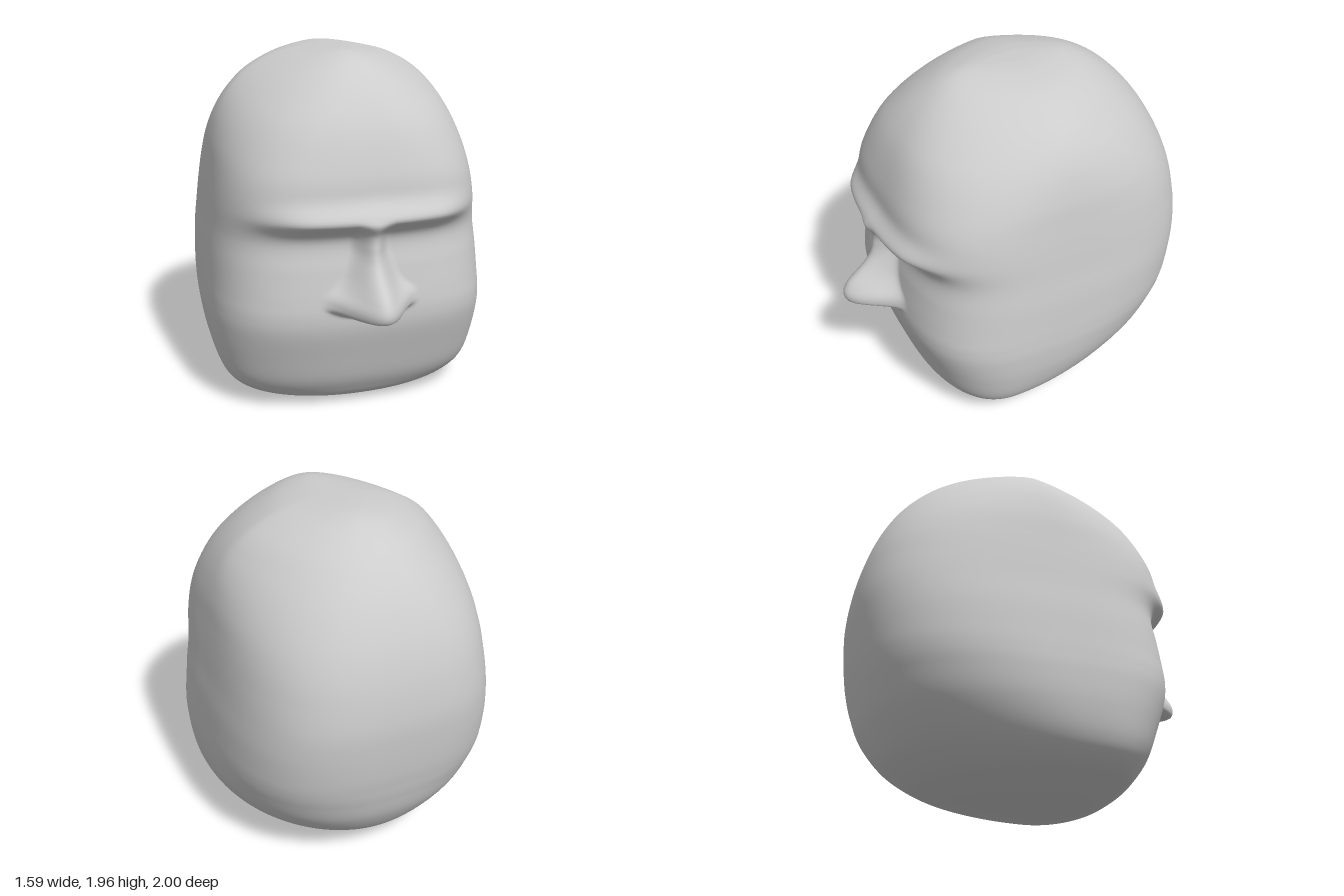
import * as THREE from 'three';

const SEGMENTS = 160;
const STEPS = 11;

// Head cross-sections: height, half width, front z, back z
const SECTIONS = [
  [0.0, 0, 0.1, 0.1],
  [0.001, 0.16, 0.36, -0.32],
  [0.014, 0.32, 0.46, -0.44],
  [0.05, 0.55, 0.535, -0.59],
  [0.11, 0.67, 0.585, -0.7],
  [0.2, 0.735, 0.635, -0.8],
  [0.35, 0.777, 0.685, -0.893],
  [0.5, 0.794, 0.73, -0.94],
  [0.6, 0.795, 0.742, -0.962],
  [0.7, 0.791, 0.735, -0.979],
  [0.85, 0.782, 0.712, -0.994],
  [1.0, 0.765, 0.69, -1.0],
  [1.15, 0.75, 0.735, -0.986],
  [1.3, 0.732, 0.742, -0.955],
  [1.45, 0.71, 0.703, -0.903],
  [1.6, 0.665, 0.64, -0.825],
  [1.72, 0.597, 0.558, -0.735],
  [1.82, 0.495, 0.46, -0.63],
  [1.9, 0.345, 0.35, -0.505],
  [1.94, 0.19, 0.25, -0.395],
  [1.954, 0.07, 0.14, -0.27],
  [1.955, 0, -0.1, -0.1],
];

// Same sections: z of the widest point, then roundness across x and along z, front and back
const ROUNDNESS = [
  [0.1, 2.2, 2.0, 1.8, 1.7],
  [0.12, 2.3, 2.0, 1.8, 1.7],
  [0.18, 2.3, 2.1, 1.8, 1.7],
  [0.22, 2.4, 2.2, 1.8, 1.8],
  [0.22, 2.5, 2.4, 1.9, 1.9],
  [0.18, 2.7, 2.6, 2.1, 2.1],
  [0.1, 2.9, 2.9, 2.4, 2.4],
  [0.04, 3.1, 3.1, 2.65, 2.65],
  [0.0, 3.2, 3.2, 2.8, 2.8],
  [-0.03, 3.2, 3.2, 2.85, 2.85],
  [-0.05, 3.2, 3.2, 2.9, 2.9],
  [-0.05, 3.2, 3.2, 2.9, 2.9],
  [-0.05, 3.2, 3.1, 2.8, 2.8],
  [-0.06, 3.2, 2.8, 2.7, 2.6],
  [-0.07, 3.0, 2.3, 2.55, 2.2],
  [-0.08, 2.8, 1.8, 2.4, 1.75],
  [-0.08, 2.5, 1.45, 2.25, 1.5],
  [-0.1, 2.3, 1.28, 2.15, 1.38],
  [-0.1, 2.1, 1.22, 2.1, 1.35],
  [-0.1, 2.0, 1.25, 2.0, 1.35],
  [-0.1, 2.0, 1.4, 2.0, 1.4],
  [-0.1, 2.0, 1.4, 2.0, 1.4],
];

// Nose: height on the face, projection, half width
const NOSE = [
  [0.585, 0, 0.28], [0.605, 0.04, 0.28], [0.62, 0.18, 0.28], [0.64, 0.245, 0.28],
  [0.69, 0.262, 0.265], [0.75, 0.24, 0.205], [0.8, 0.195, 0.17], [0.85, 0.15, 0.15],
  [0.9, 0.122, 0.135], [0.95, 0.112, 0.12], [1.0, 0.105, 0.115], [1.06, 0.075, 0.115],
  [1.15, 0, 0.12],
];

// Smooth interpolation between the rows of a table
function sampleRows(rows, i, t) {
  const row = (k) => rows[Math.min(Math.max(k, 0), rows.length - 1)];
  const [a, b, c, d] = [row(i - 1), row(i), row(i + 1), row(i + 2)];
  return b.map((v, k) => v + 0.5 * t * (c[k] - a[k]
    + t * (2 * a[k] - 5 * v + 4 * c[k] - d[k] + t * (3 * (v - c[k]) + d[k] - a[k]))));
}

// Distance to the outline s^p + c^q = 1 along one direction
function outlineRadius(s, c, p, q) {
  let low = 0.5, high = 1.5;
  for (let k = 0; k < 24; k++) {
    const mid = (low + high) / 2;
    if ((mid * s) ** p + (mid * c) ** q < 1) low = mid;
    else high = mid;
  }
  return low;
}

function noseRelief(x, y) {
  const level = y - 0.6 * x * x; // the wings sit higher than the tip
  const i = NOSE.findIndex((r, k) => k < NOSE.length - 1 && level >= r[0] && level < NOSE[k + 1][0]);
  if (i < 0) return 0;
  const t = (level - NOSE[i][0]) / (NOSE[i + 1][0] - NOSE[i][0]);
  const [, height, width] = sampleRows(NOSE, i, t);
  const s = Math.abs(x) / width;
  return s < 1 ? Math.max(height, 0) * Math.cos(s * Math.PI / 2) ** 2 : 0;
}

function browRelief(x, y) {
  const d = y - 1.135;
  const fade = 1 - THREE.MathUtils.smoothstep(Math.abs(x), 0.35, 0.72);
  const reach = 0.092 - 0.05 * Math.min(Math.abs(x), 0.5);
  return reach * fade * Math.exp(-((d / (d > 0 ? 0.075 : 0.06)) ** 2));
}

function headGeometry() {
  const positions = [];
  const indices = [];
  const rings = (SECTIONS.length - 1) * STEPS;
  for (let r = 0; r <= rings; r++) {
    const i = Math.min(Math.floor(r / STEPS), SECTIONS.length - 2);
    const [rawY, w, front, back] = sampleRows(SECTIONS, i, r / STEPS - i);
    const [middle, pFront, qFront, pBack, qBack] = sampleRows(ROUNDNESS, i, r / STEPS - i);
    const y = THREE.MathUtils.clamp(rawY, 0, 1.955);
    for (let j = 0; j < SEGMENTS; j++) {
      // Points crowd toward the face
      const turn = (j / SEGMENTS) * Math.PI * 2;
      const angle = turn - 0.6 * Math.sin(turn);
      const s = Math.sin(angle), c = Math.cos(angle);
      const [p, q, depth] = c > 0 ? [pFront, qFront, front - middle] : [pBack, qBack, middle - back];
      const radius = outlineRadius(Math.abs(s), Math.abs(c), p, q);
      const x = Math.max(w, 0) * radius * s;
      let z = middle + Math.max(depth, 0) * radius * c;
      if (c > 0) z += THREE.MathUtils.smoothstep(c, 0.2, 0.6) * (noseRelief(x, y) + browRelief(x, y));
      positions.push(x, y, z);
      if (r < rings) {
        const a = r * SEGMENTS + j, b = r * SEGMENTS + (j + 1) % SEGMENTS;
        if (r > 0) indices.push(a, b, a + SEGMENTS);
        else indices.push(a, b + SEGMENTS, a + SEGMENTS);
        if (r > 0 && r < rings - 1) indices.push(b, b + SEGMENTS, a + SEGMENTS);
      }
    }
  }
  const geometry = new THREE.BufferGeometry();
  geometry.setAttribute('position', new THREE.Float32BufferAttribute(positions, 3));
  geometry.setIndex(indices);
  geometry.computeVertexNormals();
  return geometry;
}

export function createModel() {
  const clay = new THREE.MeshStandardMaterial({ color: 0xcccccc });
  clay.name = 'grey clay';
  const head = new THREE.Mesh(headGeometry(), clay);
  head.name = 'head';
  const model = new THREE.Group();
  model.name = 'sculptedHead';
  model.add(head);
  return model;
}
